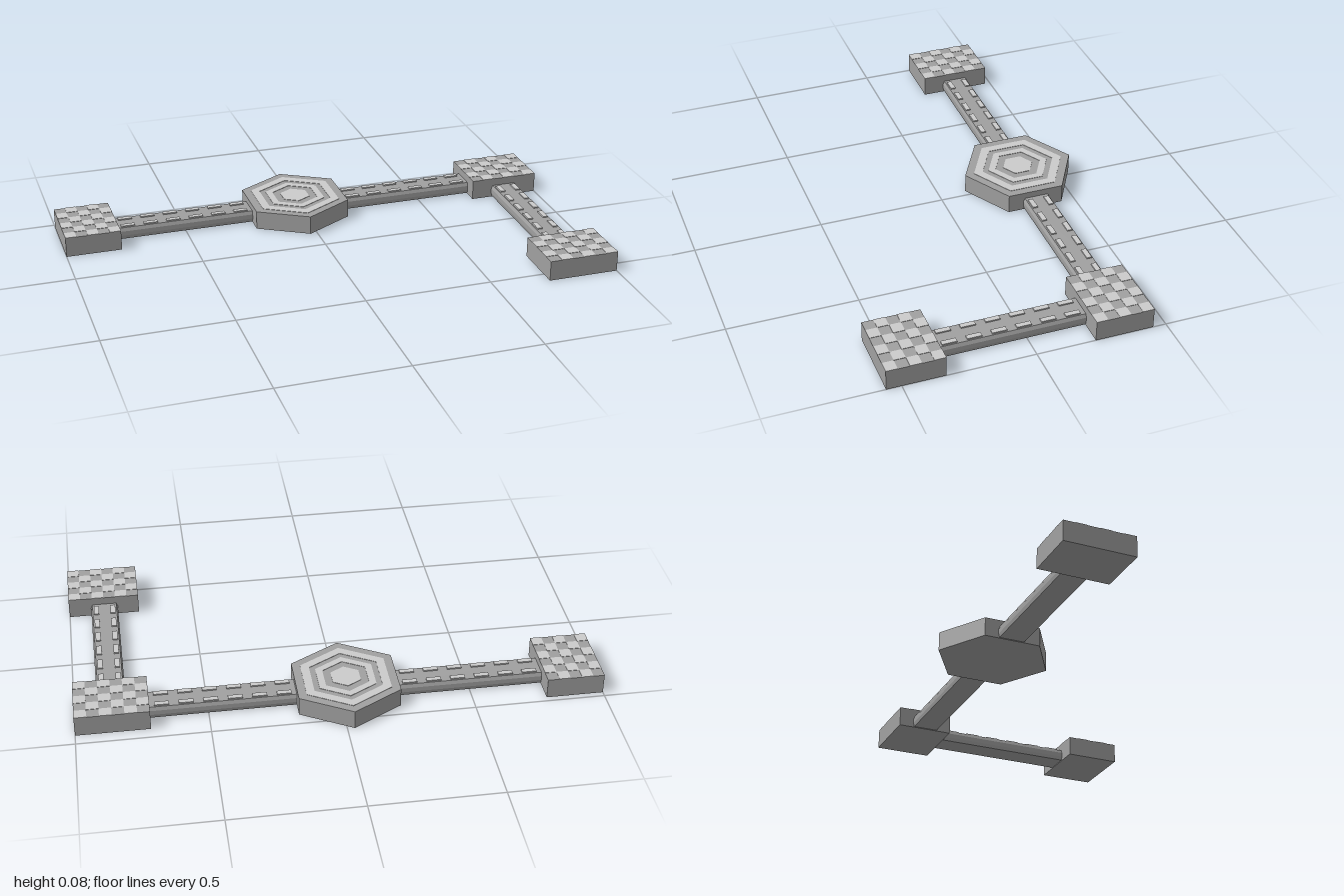
import * as THREE from 'three';

const material = (color) => new THREE.MeshStandardMaterial({ color, flatShading: true });
const stone = material(0xa0a0a0);
const pale = material(0xcccccc);

function add(parent, name, geometry, mat, x = 0, y = 0, z = 0) {
  const mesh = new THREE.Mesh(geometry, mat);
  mesh.name = name;
  mesh.position.set(x, y, z);
  parent.add(mesh);
  return mesh;
}

// Rectangular platform with a checkerboard of thin pale tiles
function platform(name, x, z, w, d, cols, rows) {
  const g = new THREE.Group();
  g.name = name;
  g.position.set(x, 0, z);
  const h = 0.08, t = 0.0015;
  add(g, 'platformBlock', new THREE.BoxGeometry(w, h, d), stone, 0, h / 2, 0);
  const tile = new THREE.BoxGeometry(w / cols, t, d / rows);
  for (let i = 0; i < cols; i++) {
    for (let j = 0; j < rows; j++) {
      if ((i + j) % 2 === 0) continue;
      add(g, 'checkerTile', tile, pale,
        ((i + 0.5) / cols - 0.5) * w, h + t / 2, ((j + 0.5) / rows - 0.5) * d);
    }
  }
  return g;
}

// Hexagonal platform with concentric raised rings, points along z
function hexPlatform(x, z) {
  const g = new THREE.Group();
  g.name = 'hexPlatform';
  g.position.set(x, 0, z);
  const h = 0.075, t = 0.0015;
  add(g, 'hexBlock', new THREE.CylinderGeometry(0.224, 0.224, h, 6), stone, 0, h / 2, 0);
  const hexPoints = (r) => Array.from({ length: 6 }, (_, i) => {
    const a = Math.PI / 2 + i * Math.PI / 3;
    return new THREE.Vector2(r * Math.cos(a), r * Math.sin(a));
  });
  for (const [outer, inner] of [[0.187, 0.15], [0.125, 0.095], [0.062, 0]]) {
    const shape = new THREE.Shape(hexPoints(outer));
    if (inner) shape.holes.push(new THREE.Path(hexPoints(inner)));
    const ring = new THREE.ExtrudeGeometry(shape, { depth: t, bevelEnabled: false });
    ring.rotateX(-Math.PI / 2);
    add(g, inner ? 'hexRing' : 'hexCentre', ring, pale, 0, h, 0);
  }
  return g;
}

// Walkway along local z with bevelled sides and two rows of raised slabs
function walkway(name, x, z, length, slabs, alongX) {
  const g = new THREE.Group();
  g.name = name;
  g.position.set(x, 0, z);
  if (alongX) g.rotation.y = Math.PI / 2;
  const half = [[0.05, 0.003], [0.054, 0.018], [0.054, 0.036], [0.048, 0.05]];
  const outline = [...half, ...half.map(([px, py]) => [-px, py]).reverse()];
  const shape = new THREE.Shape(outline.map(([px, py]) => new THREE.Vector2(px, py)));
  const beam = new THREE.ExtrudeGeometry(shape, { depth: length, bevelEnabled: false });
  beam.translate(0, 0, -length / 2);
  add(g, 'walkwayBeam', beam, stone);
  const pitch = length / slabs;
  const slab = new THREE.BoxGeometry(0.02, 0.005, pitch * 0.6);
  for (let i = 0; i < slabs; i++) {
    for (const side of [-1, 1]) {
      add(g, 'walkwaySlab', slab, pale, side * 0.033, 0.0525, (i + 0.5) * pitch - length / 2);
    }
  }
  return g;
}

export function createModel() {
  const model = new THREE.Group();
  model.name = 'platformPath';
  model.add(
    platform('endPlatform', -0.89, -0.338, 0.22, 0.28, 5, 6),
    platform('cornerPlatform', 0.86, -0.338, 0.28, 0.224, 6, 5),
    platform('frontPlatform', 0.86, 0.447, 0.28, 0.22, 6, 5),
    hexPlatform(-0.028, -0.333),
    walkway('rightWalkway', -0.501, -0.336, 0.558, 6, true),
    walkway('leftWalkway', 0.443, -0.336, 0.554, 6, true),
    walkway('frontWalkway', 0.858, 0.0555, 0.563, 6, false),
  );
  return model;
}
